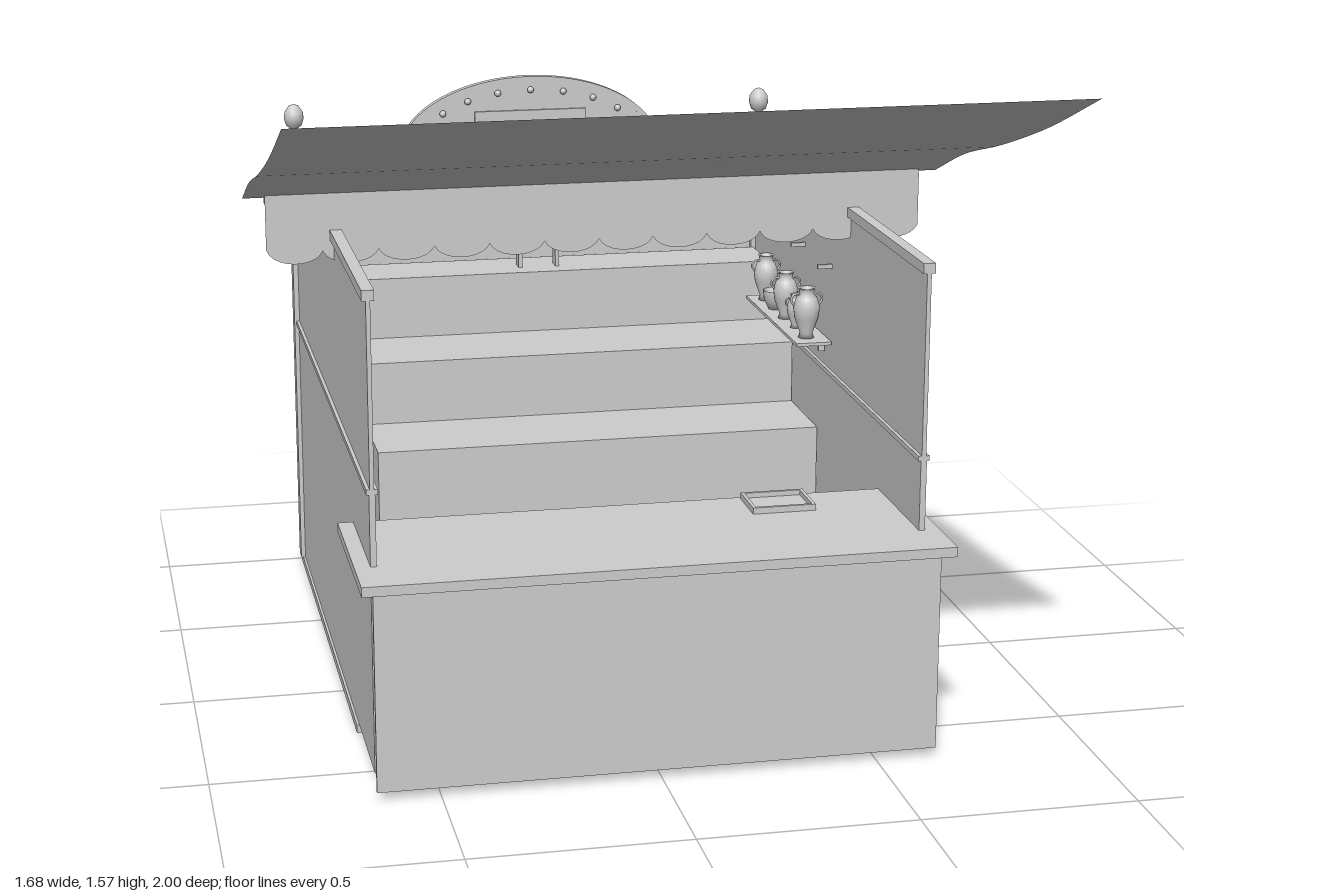
import * as THREE from 'three';

export function createModel() {
  const root = new THREE.Group();
  const grey = new THREE.MeshStandardMaterial({ color: 0xcccccc, side: THREE.DoubleSide });
  grey.name = 'pale grey';

  const add = (name, geo, x = 0, y = 0, z = 0, parent = root) => {
    const m = new THREE.Mesh(geo, grey);
    m.name = name;
    m.position.set(x, y, z);
    parent.add(m);
    return m;
  };
  // box given by its limits on each axis
  const box = (name, x0, x1, y0, y1, z0, z1, parent) =>
    add(name, new THREE.BoxGeometry(x1 - x0, y1 - y0, z1 - z0),
      (x0 + x1) / 2, (y0 + y1) / 2, (z0 + z1) / 2, parent);
  const lathe = (pts, seg = 20) =>
    new THREE.LatheGeometry(pts.map(p => new THREE.Vector2(p[0], p[1])), seg);

  // L-shaped floor: front area plus a passage along the right side
  box('floor', -0.64, 0.64, 0, 0.02, -0.29, 0.27);
  box('passageFloor', -0.64, -0.51, 0, 0.02, -0.985, -0.29);

  // Side walls, rails, rear posts and finials
  const finial = lathe([[0.016, 0], [0.016, 0.008], [0.009, 0.014], [0.009, 0.022], [0.02, 0.03],
    [0.026, 0.048], [0.024, 0.066], [0.013, 0.082], [0, 0.087]]);
  for (const s of [-1, 1]) {
    const side = new THREE.Group();
    side.name = s > 0 ? 'leftSide' : 'rightSide';
    root.add(side);
    const c = s * 0.627;
    box('lowerWall', c - 0.007, c + 0.007, 0.02, 0.68, -0.95, 0.56, side);
    box('upperWall', c - 0.005, c + 0.005, 0.68, 1.11, -0.95, 0.56, side);
    box('middleRail', c - 0.013, c + 0.013, 0.673, 0.685, -0.95, 0.56, side);
    box('topRail', c - 0.014, c + 0.014, 1.108, 1.132, -0.95, 0.56, side);
    box('rearPost', c - 0.018, c + 0.018, 0.02, 1.18, -0.995, -0.95, side);
    add('finial', finial, s * 0.63, 1.18, -0.972, side);
  }

  // Backboard with an arched crest
  const back = new THREE.Shape();
  back.moveTo(-0.615, 0.81);
  back.lineTo(0.615, 0.81);
  back.lineTo(0.615, 1.125);
  back.lineTo(0.345, 1.125);
  back.absellipse(0, 1.125, 0.345, 0.19, 0, Math.PI, false);
  back.lineTo(-0.615, 1.125);
  back.closePath();
  add('backboard', new THREE.ExtrudeGeometry(back, { depth: 0.018, bevelEnabled: false, curveSegments: 32 }),
    0, 0, -0.985);
  for (const s of [-1, 1])
    box('backboardRail', Math.min(s * 0.345, s * 0.615), Math.max(s * 0.345, s * 0.615),
      1.11, 1.132, -0.988, -0.958);
  box('signPlaque', -0.15, 0.15, 1.13, 1.23, -0.967, -0.96);

  // Crest rim
  const rim = new THREE.Shape();
  rim.absellipse(0, 1.125, 0.35, 0.195, 0, Math.PI, false);
  rim.absellipse(0, 1.125, 0.335, 0.18, Math.PI, 0, true);
  rim.closePath();
  add('crestRim', new THREE.ExtrudeGeometry(rim, { depth: 0.024, bevelEnabled: false, curveSegments: 32 }),
    0, 0, -0.988);

  // Lamps around the backboard
  const bulb = new THREE.SphereGeometry(0.009, 10, 8);
  const lamps = [];
  for (const s of [-1, 1]) {
    for (const y of [0.88, 0.96, 1.04]) lamps.push([s * 0.585, y]);
    for (const x of [0.4, 0.49, 0.585]) lamps.push([s * x, 1.09]);
  }
  for (let i = 0; i < 11; i++) {
    const a = Math.PI * (0.04 + 0.92 * i / 10);
    lamps.push([0.31 * Math.cos(a), 1.125 + 0.16 * Math.sin(a)]);
  }
  for (const [x, y] of lamps) add('lamp', bulb, x, y, -0.958);

  // Hollow three-tier display stand, open at the rear and below
  const tiers = [[0.51, -0.28, -0.53], [0.67, -0.53, -0.78], [0.83, -0.78, -0.95]];
  tiers.forEach(([h, zf, zb], i) => {
    const y0 = i ? tiers[i - 1][0] - 0.01 : 0.02;
    box('tierTread', -0.51, 0.615, h - 0.01, h, zb, zf);
    box('tierRiser', -0.51, 0.615, y0, h - 0.01, zf - 0.008, zf);
    box('tierSide', -0.51, -0.502, 0.02, h - 0.01, zb, zf - 0.008);
  });

  // Small stool on the upper tier
  const stool = new THREE.Group();
  stool.name = 'stool';
  root.add(stool);
  box('stoolTop', -0.065, 0.06, 0.932, 0.942, -0.885, -0.828, stool);
  for (const x of [-0.052, 0.047])
    box('stoolLeg', x - 0.005, x + 0.005, 0.83, 0.932, -0.878, -0.836, stool);

  // Front counter and its panel
  box('counterTop', -0.67, 0.67, 0.485, 0.508, 0.24, 0.69);
  box('counterFront', -0.643, 0.64, 0.02, 0.485, 0.657, 0.668);

  // Shallow tray on the counter
  const tray = new THREE.Group();
  tray.name = 'tray';
  root.add(tray);
  box('trayBase', 0.28, 0.43, 0.508, 0.511, 0.25, 0.37, tray);
  for (const z of [0.25, 0.362]) box('traySide', 0.28, 0.43, 0.511, 0.523, z, z + 0.008, tray);
  for (const x of [0.28, 0.422]) box('trayEnd', x, x + 0.008, 0.511, 0.523, 0.258, 0.362, tray);

  // Wall shelf with a row of vases
  box('shelf', 0.53, 0.62, 0.752, 0.76, -0.69, -0.18);
  for (const z of [-0.62, -0.25]) box('shelfBracket', 0.605, 0.62, 0.72, 0.752, z - 0.006, z + 0.006);
  const urn = lathe([[0, 0], [0.02, 0], [0.016, 0.012], [0.03, 0.05], [0.034, 0.08], [0.026, 0.103],
    [0.018, 0.112], [0.02, 0.125], [0.023, 0.128], [0.016, 0.127], [0.014, 0.11]]);
  const bowl = lathe([[0, 0], [0.018, 0], [0.03, 0.025], [0.033, 0.05], [0.03, 0.05], [0.025, 0.025], [0, 0.008]]);
  const handle = new THREE.TorusGeometry(0.015, 0.003, 6, 14);
  [[-0.64, urn, 0.95], [-0.54, bowl, 1], [-0.44, urn, 0.95], [-0.34, urn, 0.68], [-0.24, urn, 1]]
    .forEach(([z, geo, k]) => {
      const g = new THREE.Group();
      g.name = 'vase';
      g.position.set(0.57, 0.76, z);
      g.scale.setScalar(k);
      root.add(g);
      add('vaseBody', geo, 0, 0, 0, g);
      if (geo === urn) for (const s of [-1, 1]) add('vaseHandle', handle, s * 0.025, 0.098, 0, g);
    });

  // Framed board and pegs on the inner walls
  box('wallBoard', -0.62, -0.613, 0.8, 1.06, -0.76, -0.45);
  for (const z of [-0.7, -0.45, -0.2]) box('wallPeg', 0.585, 0.622, 0.945, 0.955, z - 0.005, z + 0.005);

  // Beam carrying the awning
  box('awningBeam', -0.79, 0.79, 1.198, 1.23, -0.075, -0.045);

  // Scalloped valance
  const val = new THREE.Shape();
  const n = 12, w = 1.58 / n;
  val.moveTo(0.79, 1.21);
  val.lineTo(-0.79, 1.21);
  val.lineTo(-0.79, 1.09);
  for (let i = 0; i < n; i++) {
    const x = -0.79 + i * w;
    val.bezierCurveTo(x + w * 0.12, 1.043, x + w * 0.88, 1.043, x + w, 1.083);
  }
  val.closePath();
  add('valance', new THREE.ShapeGeometry(val, 10), 0, 0, -0.043);

  // Raised cloth awning, a thin sheet following a gentle curve
  const curve = new THREE.CatmullRomCurve3([[1.21, -0.07], [1.292, 0.15], [1.36, 0.4], [1.455, 0.7], [1.57, 1]]
    .map(([y, z]) => new THREE.Vector3(0, y, z)));
  const cloth = new THREE.PlaneGeometry(1.68, 1, 1, 24);
  const pos = cloth.attributes.position;
  for (let i = 0; i < pos.count; i++) {
    const p = curve.getPoint(THREE.MathUtils.clamp(pos.getY(i) * -1 + 0.5, 0, 1));
    pos.setXYZ(i, pos.getX(i), p.y, p.z);
  }
  cloth.computeVertexNormals();
  add('awning', cloth);

  return root;
}
